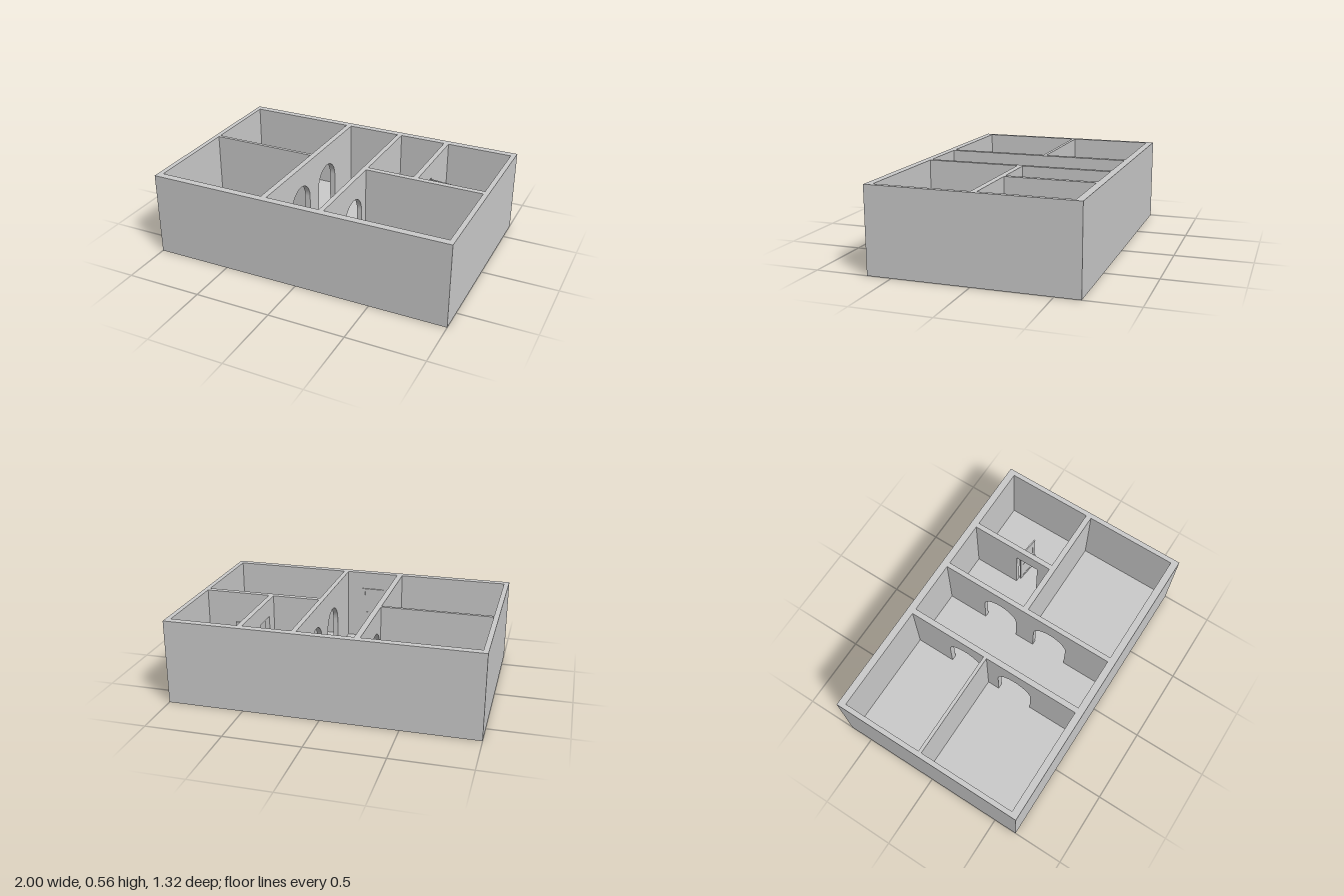
import * as THREE from 'three';

const HEIGHT = 0.557, FLOOR = 0.07, BASE = 0.03;
const OUT_X = 1, OUT_Z = 0.66, IN_X = 0.968, IN_Z = 0.613;
const material = new THREE.MeshStandardMaterial({ color: 0xcccccc });

function add(parent, name, geometry) {
  const mesh = new THREE.Mesh(geometry, material);
  mesh.name = name;
  parent.add(mesh);
  return mesh;
}

function box(parent, name, x0, x1, y0, y1, z0, z1) {
  const mesh = add(parent, name, new THREE.BoxGeometry(x1 - x0, y1 - y0, z1 - z0));
  mesh.position.set((x0 + x1) / 2, (y0 + y1) / 2, (z0 + z1) / 2);
  return mesh;
}

function rectangle(path, a0, a1, b0, b1) {
  path.moveTo(a0, b0);
  path.lineTo(a1, b0);
  path.lineTo(a1, b1);
  path.lineTo(a0, b1);
  path.closePath();
  return path;
}

// Round-headed opening centred on z = c
function archway(c, r = 0.125, spring = 0.292) {
  const path = new THREE.Path();
  path.moveTo(-c - r, FLOOR);
  path.lineTo(-c + r, FLOOR);
  path.lineTo(-c + r, spring);
  path.absarc(-c, spring, r, 0, Math.PI, false);
  path.closePath();
  return path;
}

// Wall running along z between x0 and x1, pierced by the given openings
function piercedWall(parent, name, x0, x1, z0, z1, openings) {
  const shape = rectangle(new THREE.Shape(), -z1, -z0, BASE, HEIGHT);
  shape.holes.push(...openings);
  const geometry = new THREE.ExtrudeGeometry(shape, { depth: x1 - x0, bevelEnabled: false, curveSegments: 20 });
  geometry.rotateY(Math.PI / 2).translate(x0, 0, 0);
  return add(parent, name, geometry);
}

// Panelled door leaf: hinge at x = 0, knob near the far end, standing on y = 0
function doorLeaf(name, width, height, thickness) {
  const door = new THREE.Group();
  door.name = name;
  const t = thickness / 2, rim = 0.022;
  const frame = rectangle(new THREE.Shape(), 0, width, 0, height);
  for (const [y0, y1] of [[rim, height * 0.44], [height * 0.52, height - rim]])
    frame.holes.push(rectangle(new THREE.Path(), rim, width - rim, y0, y1));
  const geometry = new THREE.ExtrudeGeometry(frame, { depth: thickness, bevelEnabled: false });
  add(door, 'doorFrame', geometry.translate(0, 0, -t));
  box(door, 'doorPanel', rim / 2, width - rim / 2, rim / 2, height - rim / 2, -t * 0.5, t * 0.5);
  for (const side of [-1, 1]) {
    const stem = add(door, 'knobStem', new THREE.CylinderGeometry(0.003, 0.005, 0.01, 12));
    stem.rotation.x = Math.PI / 2 * side;
    stem.position.set(width - 0.012, height * 0.47, side * (t + 0.005));
    const knob = add(door, 'doorKnob', new THREE.SphereGeometry(0.007, 16, 10));
    knob.position.set(width - 0.012, height * 0.47, side * (t + 0.012));
  }
  return door;
}

export function createModel() {
  const model = new THREE.Group();
  model.name = 'roomPlan';

  // Outer shell and floor slab
  const outline = rectangle(new THREE.Shape(), -OUT_X, OUT_X, -OUT_Z, OUT_Z);
  outline.holes.push(rectangle(new THREE.Path(), -IN_X, IN_X, -IN_Z, IN_Z));
  const shell = new THREE.ExtrudeGeometry(outline, { depth: HEIGHT, bevelEnabled: false });
  add(model, 'outerWalls', shell.rotateX(-Math.PI / 2));
  box(model, 'floor', -IN_X, IN_X, 0, FLOOR, -IN_Z, IN_Z);

  // Hall walls with arched doorways
  piercedWall(model, 'hallRightWall', -0.246, -0.209, -IN_Z, IN_Z, [archway(-0.215), archway(0.165)]);
  piercedWall(model, 'hallLeftWall', 0.15, 0.182, -IN_Z, IN_Z, [archway(-0.2), archway(0.19)]);

  // Cross walls between rooms
  box(model, 'rightCrossWall', -IN_X, -0.246, BASE, HEIGHT, -0.065, -0.043);
  box(model, 'leftCrossWall', 0.182, IN_X, BASE, HEIGHT, -0.037, 0);

  // Small back room wall with a square-headed doorway
  const doorway = rectangle(new THREE.Path(), 0.128, 0.29, FLOOR, 0.443);
  piercedWall(model, 'backPartition', 0.497, 0.53, -IN_Z, -0.037, [doorway]);

  // Open inner door
  const innerDoor = doorLeaf('innerDoor', 0.15, 0.368, 0.009);
  innerDoor.position.set(0.53, FLOOR, -0.279);
  innerDoor.rotation.y = -0.12;
  model.add(innerDoor);

  // Closed entrance door on the hall's front wall
  const entrance = doorLeaf('entranceDoor', 0.157, 0.368, 0.01);
  entrance.position.set(0.045, FLOOR, 0.609);
  entrance.rotation.y = Math.PI;
  model.add(entrance);

  return model;
}
